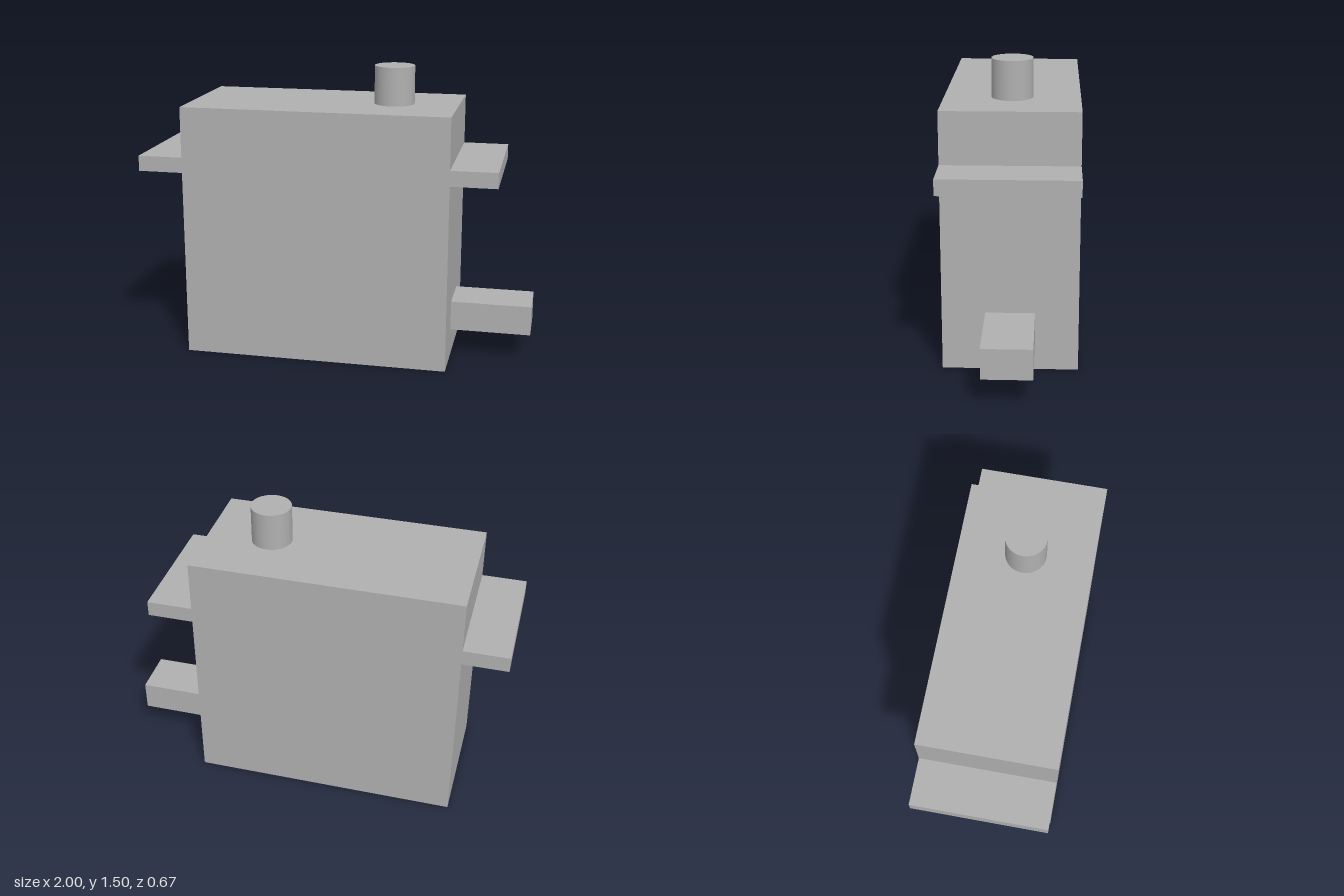
import * as THREE from 'three';

export function createModel() {
  const model = new THREE.Group();
  const grey = new THREE.MeshStandardMaterial({ color: 0xb0b0b0 });
  grey.name = 'casing grey';

  // Box given by its extents in x and y and its depth, centred on z = 0
  const addBox = (name, x0, x1, y0, y1, depth) => {
    const mesh = new THREE.Mesh(new THREE.BoxGeometry(x1 - x0, y1 - y0, depth), grey);
    mesh.position.set((x0 + x1) / 2, (y0 + y1) / 2, 0);
    mesh.name = name;
    model.add(mesh);
  };

  const depth = 0.67;
  const left = 0.59, right = -0.77, top = 1.303;

  // Motor casing
  addBox('casing', right, left, 0, top, depth);

  // Mounting tabs on both ends
  addBox('rightMountingTab', -1, right, 0.965, 1.044, depth);
  addBox('leftMountingTab', left, 0.824, 0.965, 1.044, depth);

  // Cable connector low on the left end
  addBox('cableConnector', left, 1, 0.146, 0.299, 0.243);

  // Output shaft
  const shaftHeight = 1.497 - top;
  const shaft = new THREE.Mesh(new THREE.CylinderGeometry(0.102, 0.102, shaftHeight, 48), grey);
  shaft.position.set(0.262, top + shaftHeight / 2, 0);
  shaft.name = 'outputShaft';
  model.add(shaft);

  return model;
}
